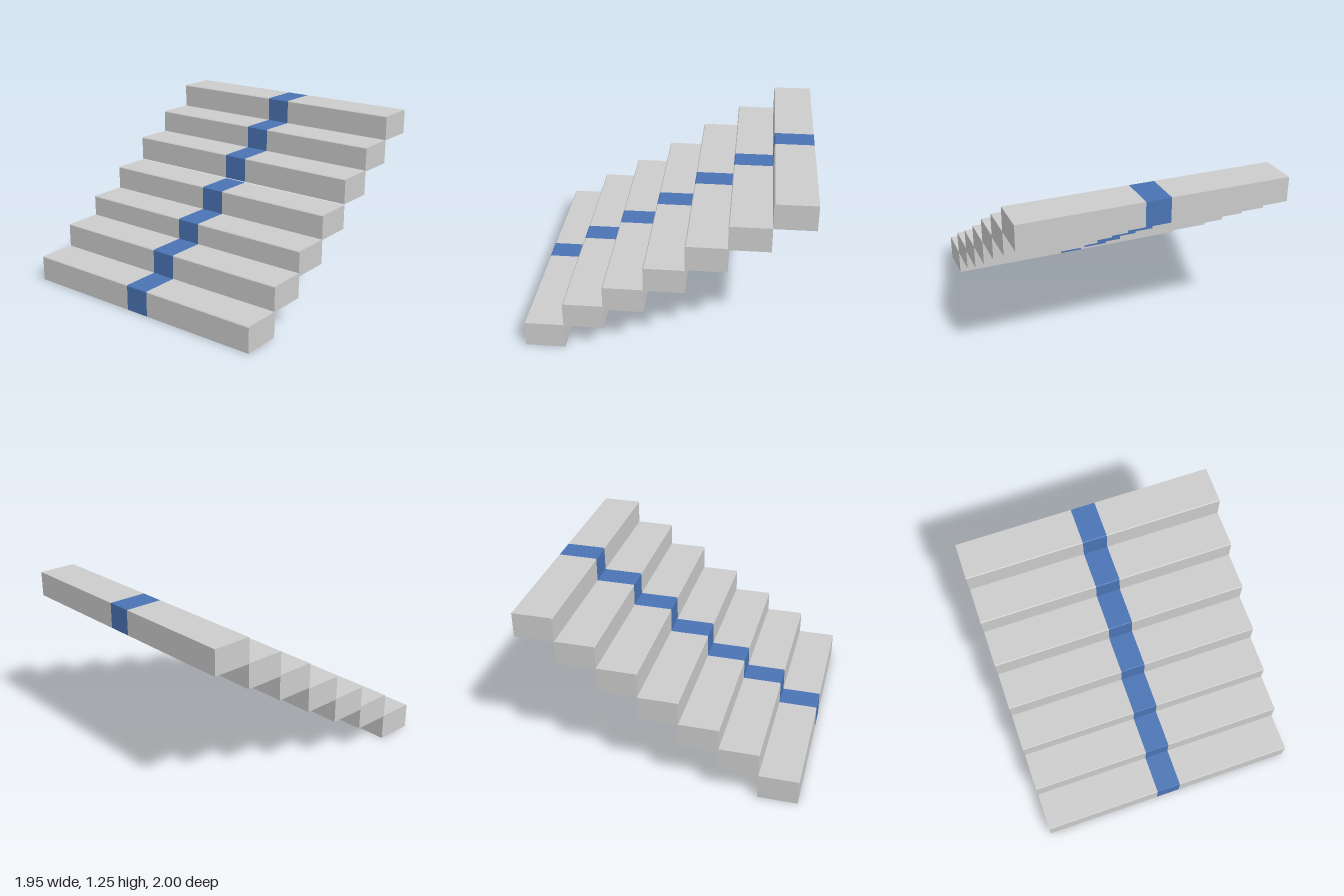
import * as THREE from 'three';

const HALF = 0.977, DEPTH = 0.288;
const STRIP = [-0.093, 0.091];
const CHAMFER = 0.006;
// bottom and top height of each tread, front to back
const LEVELS = [[0, 0.19], [0.187, 0.37], [0.345, 0.528], [0.524, 0.705], [0.711, 0.896], [0.887, 1.067], [1.065, 1.248]];

// Bar along x with a softened top front edge; hidden joint faces are left out
function bar(x0, x1, height, capStart, capEnd) {
  const d = DEPTH / 2;
  const profile = new THREE.Shape([
    [-d, 0], [d, 0], [d, height], [-d + CHAMFER, height], [-d, height - CHAMFER],
  ].map(([x, y]) => new THREE.Vector2(x, y)));
  const geo = new THREE.ExtrudeGeometry(profile, { depth: x1 - x0, bevelEnabled: false });
  const caps = geo.groups[0].count, total = geo.attributes.position.count;
  const index = [];
  for (let i = 0; i < total; i++) {
    if (i < caps / 2 ? capStart : i < caps ? capEnd : true) index.push(i);
  }
  geo.setIndex(index);
  geo.clearGroups();
  return geo.rotateY(Math.PI / 2).translate(x0, 0, 0);
}

export function createModel() {
  const model = new THREE.Group();
  model.name = 'steppedTreads';
  const grey = new THREE.MeshStandardMaterial({ color: 0xcccccc });
  const blue = new THREE.MeshStandardMaterial({ color: 0x4a74b4 });
  const spacing = (2 - DEPTH) / (LEVELS.length - 1);

  LEVELS.forEach(([bottom, top], i) => {
    const step = new THREE.Group();
    step.name = `step${i + 1}`;
    step.position.set(0, bottom, 1 - DEPTH / 2 - i * spacing);
    const add = (name, material, ...args) => {
      const mesh = new THREE.Mesh(bar(...args), material);
      mesh.name = name;
      step.add(mesh);
    };
    const h = top - bottom;
    add('rightTread', grey, -HALF, STRIP[0], h, true, false);
    add('centreStrip', blue, STRIP[0], STRIP[1], h, false, false);
    add('leftTread', grey, STRIP[1], HALF, h, false, true);
    model.add(step);
  });
  return model;
}
